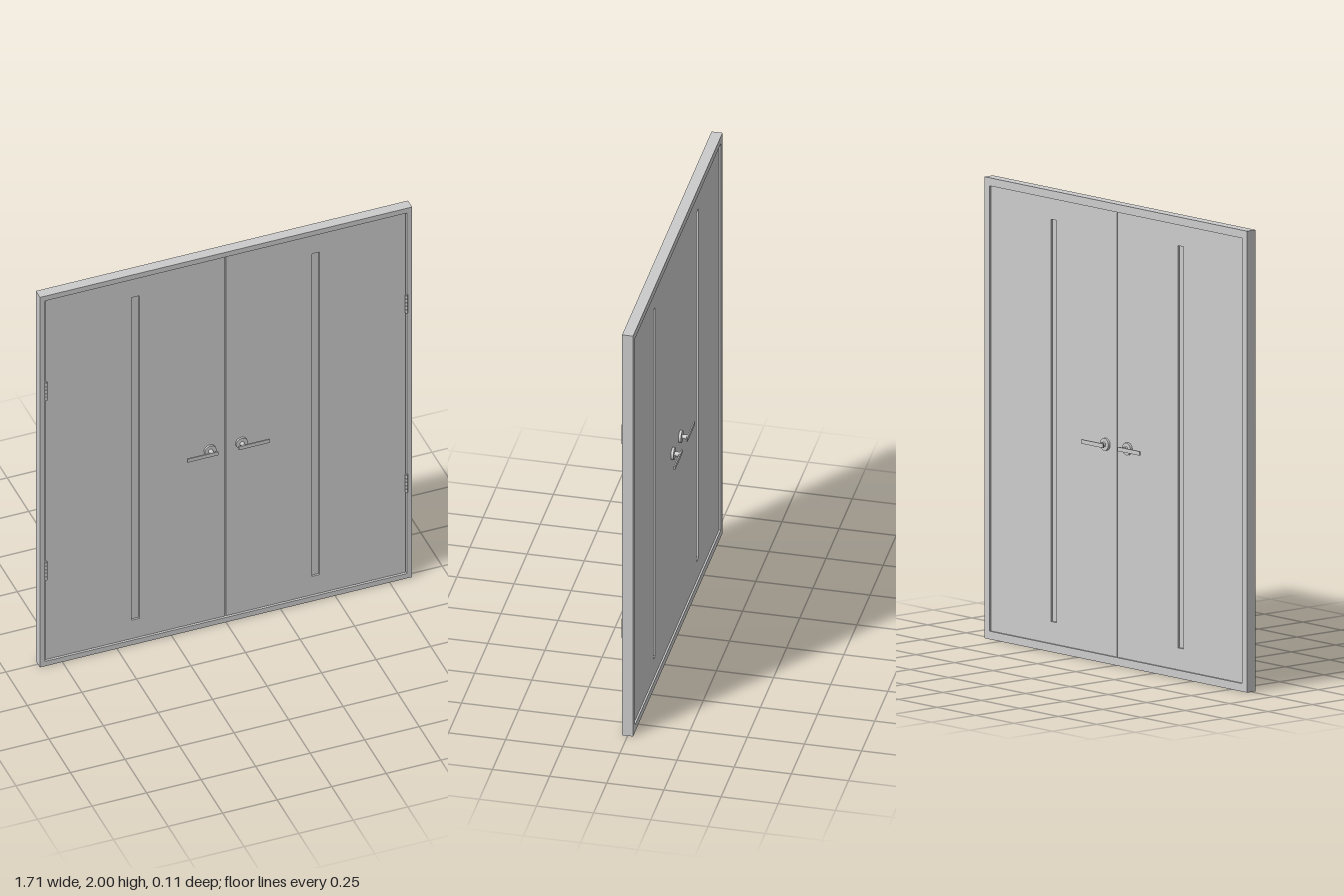
import * as THREE from 'three';

const mat = new THREE.MeshStandardMaterial({ color: 0xcccccc });

function add(parent, name, geometry, x = 0, y = 0, z = 0) {
  const mesh = new THREE.Mesh(geometry, mat);
  mesh.name = name;
  mesh.position.set(x, y, z);
  parent.add(mesh);
  return mesh;
}

function rect(PathType, x0, y0, x1, y1) {
  const p = new PathType();
  p.moveTo(x0, y0);
  p.lineTo(x1, y0);
  p.lineTo(x1, y1);
  p.lineTo(x0, y1);
  p.closePath();
  return p;
}

// Slab between z0 and z1 with one rectangular opening
function slab(outer, hole, z0, z1) {
  const shape = rect(THREE.Shape, ...outer);
  shape.holes.push(rect(THREE.Path, ...hole));
  return new THREE.ExtrudeGeometry(shape, { depth: z1 - z0, bevelEnabled: false }).translate(0, 0, z0);
}

const W = 0.853, D = 0.024;           // frame half width and half depth
const BACK = -0.016, FRONT = 0.018;   // door faces
const HANDLE_X = 0.072, HANDLE_Y = 0.948;

// Lever handle on one face; side = +1/-1 in x, face = +1/-1 in z
function makeHandle(side, face) {
  const handle = new THREE.Group();
  handle.name = 'leverHandle';
  const surface = face > 0 ? FRONT : -BACK;
  const disc = (name, r, z0, z1) => add(handle, name,
    new THREE.CylinderGeometry(r, r, z1 - z0, 32).rotateX(Math.PI / 2),
    side * HANDLE_X, HANDLE_Y, face * (z0 + z1) / 2);
  disc('rosette', 0.027, surface, 0.027);
  disc('stem', 0.01, 0.027, 0.05);
  add(handle, 'lever', new THREE.BoxGeometry(0.142, 0.018, 0.006), side * 0.118, HANDLE_Y, face * 0.052);
  return handle;
}

// Hinge barrel of five knuckles on a thin pin
function makeHinge(side, y) {
  const hinge = new THREE.Group();
  hinge.name = 'hinge';
  const length = 0.095, step = length / 5;
  for (let i = 0; i < 5; i++) {
    add(hinge, 'knuckle', new THREE.CylinderGeometry(0.006, 0.006, step - 0.0015, 16), 0, (i - 2) * step, 0);
  }
  add(hinge, 'pin', new THREE.CylinderGeometry(0.004, 0.004, length + 0.004, 12));
  add(hinge, 'leaf', new THREE.BoxGeometry(0.002, length, 0.016), 0, 0, -0.008);
  hinge.position.set(side * 0.826, y, 0.027);
  return hinge;
}

export function createModel() {
  const model = new THREE.Group();
  model.name = 'doubleDoor';

  // Frame with a rebate for the doors and a narrow stop behind them
  const frame = new THREE.Group();
  frame.name = 'frame';
  const outer = [-W, 0, W, 2];
  add(frame, 'frameFront', slab(outer, [-0.829, 0.026, 0.829, 1.974], BACK, D));
  add(frame, 'frameStop', slab(outer, [-0.819, 0.035, 0.819, 1.965], -D, BACK));
  model.add(frame);

  for (const side of [-1, 1]) {
    const leaf = new THREE.Group();
    leaf.name = side > 0 ? 'leftDoor' : 'rightDoor';

    // Door panel with a tall narrow glazed slot
    const xs = [side * 0.002, side * 0.825].sort((a, b) => a - b);
    const gx = side * 0.413;
    add(leaf, 'doorPanel', slab([xs[0], 0.03, xs[1], 1.97],
      [gx - 0.0175, 0.13, gx + 0.0175, 1.873], BACK, FRONT));
    add(leaf, 'glassStrip', new THREE.BoxGeometry(0.035, 1.743, 0.016), gx, 1.0015, 0.001);

    for (const face of [-1, 1]) leaf.add(makeHandle(side, face));
    for (const y of [0.517, 1.487]) leaf.add(makeHinge(side, y));
    model.add(leaf);
  }
  return model;
}
